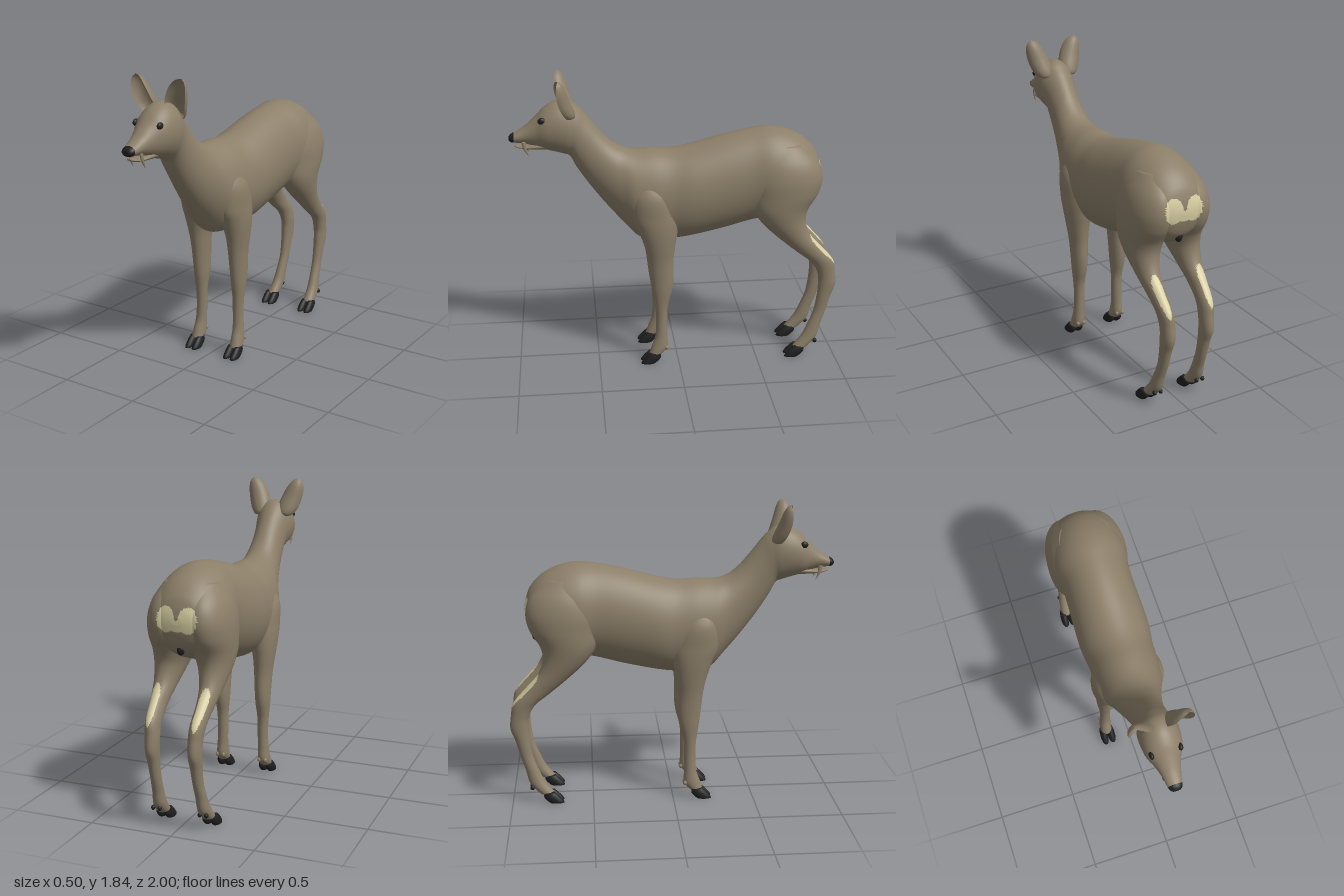
import * as THREE from 'three';

const fur = new THREE.MeshStandardMaterial({ color: 0x8c7f69, side: THREE.DoubleSide });
fur.name = 'fur';
const cream = new THREE.MeshStandardMaterial({ color: 0xd8cfa3 });
cream.name = 'cream';
const black = new THREE.MeshStandardMaterial({ color: 0x1f1f21 });
black.name = 'black';

const spline = (a, b, c, d, t) =>
  0.5 * (2 * b + (c - a) * t + (2 * a - 5 * b + 4 * c - d) * t * t + (3 * b - a - 3 * c + d) * t * t * t);

// Closed smooth skin over elliptical sections [z1, y1, z2, y2, halfWidth, centreX]:
// the two points are the ends of one axis, the width runs along x.
// paint(x, y, z, angle) picks the material index of each triangle.
function loft(name, sections, materials, { side = 1, segs = 40, steps = 8, paint = () => 0 } = {}) {
  const pos = [], n = sections.length;
  const at = i => sections[Math.min(n - 1, Math.max(0, i))];
  const rings = (n - 1) * steps + 1;
  for (let r = 0; r < rings; r++) {
    const i = Math.min(n - 2, Math.floor(r / steps)), t = r / steps - i;
    const [z1, y1, z2, y2, w, cx] = [0, 1, 2, 3, 4, 5].map(k =>
      spline(at(i - 1)[k] ?? 0, at(i)[k] ?? 0, at(i + 1)[k] ?? 0, at(i + 2)[k] ?? 0, t));
    for (let j = 0; j < segs; j++) {
      const a = j / segs * Math.PI * 2, c = Math.cos(a) / 2;
      pos.push(side * cx + w * Math.sin(a), (y1 + y2) / 2 + c * (y1 - y2), (z1 + z2) / 2 + c * (z1 - z2));
    }
  }
  // end caps
  for (const r of [0, rings - 1]) {
    const [z1, y1, z2, y2, , cx = 0] = at(r ? n - 1 : 0);
    pos.push(side * cx, (y1 + y2) / 2, (z1 + z2) / 2);
  }
  const tris = [], first = rings * segs;
  for (let j = 0; j < segs; j++) {
    const k = (j + 1) % segs, a = (j + 0.5) / segs * Math.PI * 2;
    for (let r = 0; r < rings - 1; r++) {
      const p = r * segs, q = p + segs;
      tris.push([p + j, q + j, q + k, a], [p + j, q + k, p + k, a]);
    }
    const p = (rings - 1) * segs;
    tris.push([first, j, k, a], [first + 1, p + k, p + j, a]);
  }
  // signed volume tells whether the corners run outward
  const v = i => new THREE.Vector3().fromArray(pos, i * 3);
  let volume = 0;
  const lists = materials.map(() => []);
  for (const [a, b, c, angle] of tris) {
    const A = v(a), B = v(b), C = v(c);
    volume += A.dot(B.clone().cross(C));
    const m = A.add(B).add(C).divideScalar(3);
    lists[paint(m.x, m.y, m.z, angle)].push([a, b, c]);
  }
  const geo = new THREE.BufferGeometry(), index = [];
  lists.forEach((list, m) => {
    geo.addGroup(index.length, list.length * 3, m);
    for (const [a, b, c] of list) index.push(...(volume > 0 ? [a, b, c] : [a, c, b]));
  });
  geo.setAttribute('position', new THREE.Float32BufferAttribute(pos, 3));
  geo.setIndex(index);
  geo.computeVertexNormals();
  const mesh = new THREE.Mesh(geo, materials);
  mesh.name = name;
  return mesh;
}

function ball(name, material, [x, y, z], [sx, sy, sz]) {
  const mesh = new THREE.Mesh(new THREE.SphereGeometry(1, 20, 14), material);
  mesh.position.set(x, y, z);
  mesh.scale.set(sx, sy, sz);
  mesh.name = name;
  return mesh;
}

// pale twin patches on the rump
const onRump = (x, y, z) => z < -0.8 &&
  (((Math.abs(x) - 0.065) / 0.055) ** 2 + ((y - 1.215) / 0.075) ** 2 < 1 ||
   (Math.abs(x) < 0.04 && Math.abs(y - 1.18) < 0.028));

// rump to nose, upper and lower outline points and half width
const bodySections = [
  [-0.892, 1.23, -0.892, 1.19, 0.03], [-0.88, 1.285, -0.88, 1.12, 0.10], [-0.85, 1.35, -0.85, 1.05, 0.15],
  [-0.78, 1.42, -0.78, 0.99, 0.195], [-0.68, 1.47, -0.68, 0.95, 0.22], [-0.57, 1.49, -0.57, 0.92, 0.228],
  [-0.45, 1.478, -0.45, 0.895, 0.213], [-0.3, 1.448, -0.3, 0.855, 0.215], [-0.1, 1.395, -0.1, 0.812, 0.22],
  [0.03, 1.372, 0.03, 0.795, 0.205], [0.15, 1.375, 0.15, 0.795, 0.2], [0.27, 1.375, 0.24, 0.82, 0.185],
  [0.35, 1.4, 0.32, 0.905, 0.15], [0.42, 1.455, 0.42, 1.02, 0.122], [0.48, 1.525, 0.52, 1.15, 0.104],
  [0.54, 1.6, 0.6, 1.27, 0.1], [0.585, 1.65, 0.64, 1.345, 0.106], [0.64, 1.69, 0.67, 1.36, 0.116],
  [0.71, 1.69, 0.72, 1.375, 0.117], [0.78, 1.653, 0.785, 1.392, 0.105], [0.84, 1.595, 0.84, 1.41, 0.077],
  [0.9, 1.54, 0.9, 1.43, 0.057], [0.95, 1.507, 0.95, 1.436, 0.047], [0.985, 1.49, 0.985, 1.44, 0.037],
  [0.999, 1.475, 0.999, 1.45, 0.022],
];
const jawSections = [
  [0.76, 1.45, 0.76, 1.39, 0.06], [0.84, 1.435, 0.84, 1.394, 0.055], [0.91, 1.422, 0.91, 1.398, 0.042],
  [0.955, 1.425, 0.955, 1.408, 0.028], [0.968, 1.424, 0.968, 1.415, 0.012],
];
const foreSections = [
  [0.24, 1.25, 0.12, 1.25, 0.04, 0.1], [0.285, 1.12, 0.04, 1.12, 0.09, 0.122], [0.28, 0.98, 0, 0.98, 0.09, 0.13],
  [0.24, 0.88, 0.005, 0.88, 0.082, 0.136], [0.205, 0.78, 0.02, 0.78, 0.067, 0.14],
  [0.185, 0.68, 0.03, 0.68, 0.056, 0.138], [0.17, 0.56, 0.03, 0.56, 0.049, 0.138],
  [0.16, 0.48, 0.04, 0.48, 0.045, 0.138], [0.145, 0.38, 0.065, 0.38, 0.036, 0.138],
  [0.14, 0.28, 0.07, 0.28, 0.033, 0.137], [0.145, 0.18, 0.07, 0.18, 0.034, 0.14],
  [0.168, 0.11, 0.068, 0.1, 0.038, 0.143], [0.185, 0.06, 0.105, 0.055, 0.038, 0.145],
];
const hindSections = [
  [-0.5, 1.4, -0.76, 1.4, 0.08, 0.08], [-0.45, 1.3, -0.855, 1.3, 0.12, 0.1], [-0.43, 1.2, -0.885, 1.2, 0.132, 0.115],
  [-0.44, 1.1, -0.865, 1.1, 0.13, 0.12], [-0.46, 1, -0.805, 1, 0.118, 0.125], [-0.53, 0.9, -0.79, 0.92, 0.093, 0.135],
  [-0.65, 0.79, -0.82, 0.83, 0.065, 0.14], [-0.76, 0.7, -0.89, 0.75, 0.047, 0.14],
  [-0.845, 0.63, -0.975, 0.65, 0.042, 0.135], [-0.885, 0.55, -0.993, 0.57, 0.04, 0.13],
  [-0.89, 0.48, -1, 0.48, 0.038, 0.13], [-0.885, 0.4, -0.972, 0.4, 0.034, 0.13],
  [-0.868, 0.3, -0.945, 0.3, 0.03, 0.13], [-0.83, 0.2, -0.915, 0.21, 0.032, 0.134],
  [-0.795, 0.13, -0.89, 0.12, 0.036, 0.138], [-0.74, 0.06, -0.83, 0.055, 0.037, 0.142],
];

// cupped leaf-shaped ear, open to the front
function makeEar(side) {
  const geo = new THREE.PlaneGeometry(2, 1, 18, 20), p = geo.attributes.position;
  const base = new THREE.Vector3(0.075, 1.6, 0.635), tip = new THREE.Vector3(0.155, 1.835, 0.7);
  for (let i = 0; i < p.count; i++) {
    const s = p.getX(i), t = p.getY(i) + 0.5;
    const w = 0.054 * Math.sqrt(Math.max(0, 1 - Math.abs((t - 0.5) / 0.5) ** 2.4)) + 0.024 * (1 - t);
    const a = s * 1.75, c = base.clone().lerp(tip, t);
    const across = w * Math.sin(a), back = w * 1.1 * (Math.cos(a) - 0.15);
    p.setXYZ(i, side * (c.x + across * 0.92 - back * 0.1), c.y - across * 0.25, c.z - across * 0.12 - back * 0.85 + 0.02 * Math.sin(t * Math.PI));
  }
  if (side < 0) {
    const ix = geo.index.array;
    for (let i = 0; i < ix.length; i += 3) [ix[i], ix[i + 1]] = [ix[i + 1], ix[i]];
  }
  geo.computeVertexNormals();
  const mesh = new THREE.Mesh(geo, fur);
  mesh.name = 'ear';
  return mesh;
}

// two pointed toes and the small claws behind them
function makeHoof(side, x, dz) {
  const hoof = new THREE.Group();
  hoof.name = 'hoof';
  for (const d of [-0.025, 0.025]) {
    const cx = x + d;
    hoof.add(loft('toe', [
      [0.238 + dz, 0, 0.15 + dz, 0, 0.023, cx], [0.232 + dz, 0.015, 0.135 + dz, 0.012, 0.025, cx],
      [0.205 + dz, 0.045, 0.115 + dz, 0.035, 0.024, cx], [0.18 + dz, 0.068, 0.115 + dz, 0.062, 0.018, cx],
    ], [black], { side, segs: 20, steps: 4 }));
    hoof.add(ball('dewclaw', dz ? black : fur, [side * (x + d * 0.8), 0.1, (dz ? -0.877 : 0.075)], [0.012, 0.015, 0.014]));
  }
  return hoof;
}

export function createModel() {
  const model = new THREE.Group();
  model.name = 'deer';
  model.add(loft('bodyNeckHead', bodySections, [fur, cream, black], {
    segs: 64,
    paint: (x, y, z) => (z > 0.97 ? 2 : onRump(x, y, z) ? 1 : 0),
  }));
  model.add(loft('lowerJaw', jawSections, [fur], { segs: 24, steps: 4 }));
  model.add(ball('underTailSpot', black, [0, 1.04, -0.83], [0.022, 0.035, 0.025]));

  for (const side of [1, -1]) {
    model.add(loft('frontLeg', foreSections, [fur], { side }));
    // pale streak down the back of each shank
    model.add(loft('hindLeg', hindSections, [fur, cream], {
      side, segs: 56,
      paint: (x, y, z, a) => (onRump(x, y, z) ||
        (y > 0.62 && y < 0.83 && Math.abs(a - Math.PI - side * -0.15) < 0.65 * Math.sqrt(Math.sin((y - 0.62) / 0.21 * Math.PI))) ? 1 : 0),
    }));
    model.add(makeHoof(side, 0.145, 0), makeHoof(side, 0.145, -0.92));
    model.add(makeEar(side));
    model.add(ball('eye', black, [side * 0.083, 1.585, 0.8], [0.014, 0.02, 0.024]));
    // long upper canine
    model.add(loft('tusk', [
      [0.925, 1.45, 0.9, 1.45, 0.008, 0.038], [0.915, 1.405, 0.896, 1.408, 0.007, 0.041], [0.886, 1.363, 0.884, 1.364, 0.001, 0.042],
    ], [fur], { side, segs: 12, steps: 5 }));
  }
  return model;
}
